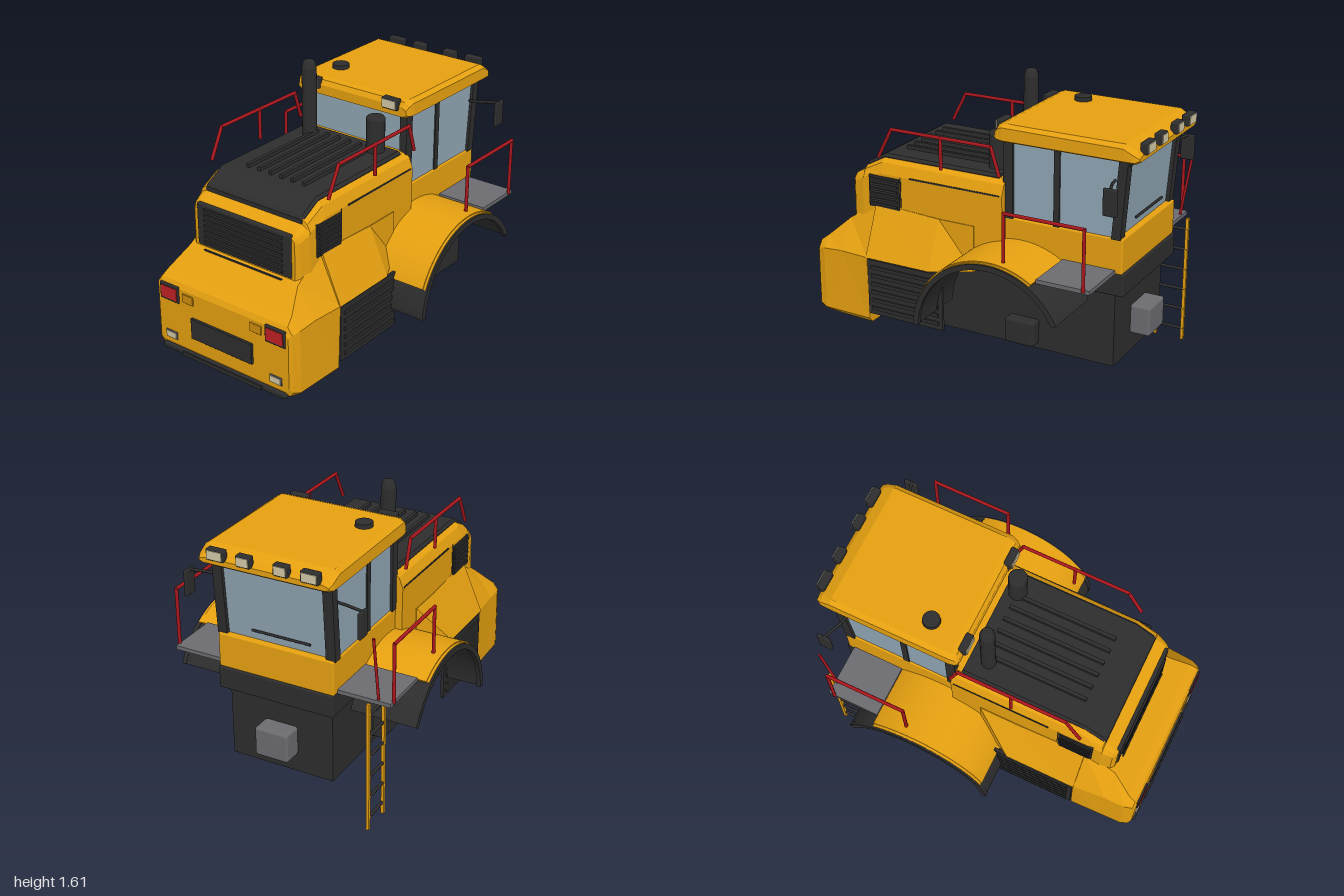
import * as THREE from 'three';
import { RoundedBoxGeometry } from 'three/addons/geometries/RoundedBoxGeometry.js';

const mat = (name, color, flatShading = false) => {
  const m = new THREE.MeshStandardMaterial({ color });
  m.name = name;
  m.flatShading = flatShading;
  return m;
};

export function createModel() {
  const yellow = mat('machine yellow', 0xe5a010);
  const black = mat('charcoal', 0x2d2d2e);
  const glass = mat('window blue grey', 0x8fa5b2);
  const red = mat('rail red', 0xa8161c);
  const lampRed = mat('lamp red', 0xc02024);
  const grey = mat('platform grey', 0x6b6b70);
  const cream = mat('lamp cream', 0xd2c8a6);
  const amber = mat('amber', 0xd08c0c);
  const model = new THREE.Group();
  model.name = 'tractorBody';

  const add = (name, geo, material) => {
    const m = new THREE.Mesh(geo, material);
    m.name = name;
    model.add(m);
    return m;
  };
  // Box given by its x, y and z limits
  const box = (name, material, [x0, x1], [y0, y1], [z0, z1], r = 0) => {
    const s = [Math.abs(x1 - x0), Math.abs(y1 - y0), Math.abs(z1 - z0)];
    const g = r ? new RoundedBoxGeometry(...s, 2, r) : new THREE.BoxGeometry(...s);
    g.translate((x0 + x1) / 2, (y0 + y1) / 2, (z0 + z1) / 2);
    return add(name, g, material);
  };
  // Profile in the z-y plane, extruded from x0 to x1
  const slab = (name, material, shape, xa, xb) => {
    const s = Array.isArray(shape) ? new THREE.Shape(shape.map(p => new THREE.Vector2(...p))) : shape;
    const g = new THREE.ExtrudeGeometry(s, { depth: Math.abs(xb - xa), bevelEnabled: false, curveSegments: 28 });
    g.rotateY(-Math.PI / 2).translate(Math.max(xa, xb), 0, 0);
    return add(name, g, material);
  };
  // Round bar through a list of points
  const bar = (name, material, pts, r = 0.01) => {
    for (let i = 1; i < pts.length; i++) {
      const a = new THREE.Vector3(...pts[i - 1]), b = new THREE.Vector3(...pts[i]);
      const m = add(name, new THREE.CylinderGeometry(r, r, a.distanceTo(b) + r, 8), material);
      m.position.copy(a).add(b).multiplyScalar(0.5);
      m.quaternion.setFromUnitVectors(new THREE.Vector3(0, 1, 0), b.sub(a).normalize());
    }
  };
  // Mirrored loft: sections [z, [half width, y]...] in order of rising z, bottom to top
  const loft = (name, material, sections) => {
    const rings = sections.map(([z, ...half]) => [
      ...half.map(([x, y]) => [x, y, z]),
      ...half.slice().reverse().map(([x, y]) => [-x, y, z]),
    ]);
    const v = [], n = rings[0].length;
    const tri = (a, b, c) => v.push(...a, ...b, ...c);
    for (let i = 0; i + 1 < rings.length; i++) {
      for (let j = 0; j < n; j++) {
        const k = (j + 1) % n, p = rings[i], q = rings[i + 1];
        tri(p[j], p[k], q[k]);
        tri(p[j], q[k], q[j]);
      }
    }
    const first = rings[0], last = rings[rings.length - 1];
    for (let j = 1; j + 1 < n; j++) {
      tri(first[0], first[j + 1], first[j]);
      tri(last[0], last[j], last[j + 1]);
    }
    const g = new THREE.BufferGeometry();
    g.setAttribute('position', new THREE.Float32BufferAttribute(v, 3));
    g.computeVertexNormals();
    return add(name, g, material);
  };
  const sides = fn => [-1, 1].forEach(s => fn(s, (a, b) => [s * a, s * b]));

  // Chassis and cab floor
  box('chassis', black, [-0.31, 0.31], [0.19, 0.62], [-0.835, 0.62]);
  box('cabFloor', black, [-0.345, 0.345], [0.62, 0.75], [-0.895, 0.02], 0.01);
  box('rearHitchBox', grey, [-0.1, 0.1], [0.3, 0.47], [-0.95, -0.83], 0.015);

  // Nose and flared skirts
  loft('nose', yellow, [
    [0.61, [0.47, 0.19], [0.495, 0.22], [0.505, 0.6], [0.37, 0.89]],
    [0.8, [0.46, 0.19], [0.49, 0.22], [0.49, 0.6], [0.375, 0.765]],
    [0.92, [0.45, 0.19], [0.487, 0.22], [0.485, 0.59], [0.43, 0.655]],
    [0.965, [0.45, 0.205], [0.475, 0.235], [0.47, 0.58], [0.44, 0.62]],
    [0.98, [0.44, 0.235], [0.455, 0.26], [0.455, 0.56], [0.43, 0.59]],
  ]);
  loft('skirts', yellow, [
    [-0.02, [0.39, 0.6], [0.39, 0.87]],
    [0.2, [0.51, 0.6], [0.39, 0.87]],
    [0.615, [0.51, 0.6], [0.385, 0.89]],
  ]);

  // Hood, top cover and ribs
  loft('hood', yellow, [
    [-0.195, [0.385, 0.74], [0.388, 1.07], [0.365, 1.13], [0.33, 1.155]],
    [0.58, [0.385, 0.74], [0.385, 1.07], [0.362, 1.13], [0.33, 1.155]],
    [0.7, [0.385, 0.74], [0.38, 1.03], [0.36, 1.07], [0.33, 1.09]],
    [0.705, [0.385, 0.74], [0.38, 1.02], [0.36, 1.05], [0.33, 1.065]],
    [0.765, [0.37, 0.74], [0.365, 0.99], [0.35, 1.02], [0.33, 1.035]],
    [0.785, [0.345, 0.74], [0.345, 0.98], [0.34, 1.0], [0.325, 1.015]],
  ]);
  loft('hoodCover', black, [
    [-0.15, [0.335, 1.06], [0.335, 1.155], [0.322, 1.172]],
    [0.58, [0.335, 1.06], [0.335, 1.155], [0.322, 1.172]],
    [0.69, [0.335, 1.06], [0.335, 1.095], [0.322, 1.11]],
    [0.705, [0.33, 1.065], [0.33, 1.08], [0.32, 1.09]],
  ]);
  for (let i = 0; i < 6; i++) {
    const x = -0.19 + i * 0.076;
    box('hoodRib', black, [x - 0.01, x + 0.01], [1.165, 1.193], [-0.08, 0.52]);
  }

  // Front grille
  box('grille', black, [-0.325, 0.325], [0.78, 1.03], [0.74, 0.792], 0.01);
  for (let i = 0; i < 7; i++) {
    const y = 0.81 + i * 0.032;
    box('grilleSlat', black, [-0.27, 0.27], [y - 0.007, y + 0.007], [0.78, 0.802]);
  }
  box('grilleTrim', black, [-0.27, 0.27], [0.76, 0.768], [0.78, 0.805]);

  // Nose fittings
  box('frontPlate', black, [-0.215, 0.215], [0.32, 0.445], [0.975, 0.995], 0.004);
  box('bumperStrip', black, [-0.435, 0.435], [0.188, 0.222], [0.92, 0.993], 0.012);
  box('bumperLip', black, [-0.28, 0.28], [0.192, 0.216], [0.96, 1.0]);
  sides((s, X) => {
    box('lampFrame', black, X(0.303, 0.438), [0.498, 0.598], [0.96, 0.988], 0.005);
    box('redLamp', lampRed, X(0.315, 0.426), [0.512, 0.584], [0.985, 0.992]);
    box('amberLamp', amber, X(0.2, 0.278), [0.52, 0.572], [0.97, 0.988], 0.004);
    box('lowLampFrame', grey, X(0.33, 0.41), [0.262, 0.308], [0.96, 0.986]);
    box('lowLamp', cream, X(0.336, 0.404), [0.268, 0.302], [0.982, 0.99]);
  });

  // Exhaust and intake stacks
  const stack = (name, x, z, pts) => {
    const g = new THREE.LatheGeometry(pts.map(p => new THREE.Vector2(...p)), 20);
    add(name, g, black).position.set(x, 0, z);
  };
  stack('exhaust', -0.22, -0.045, [[0.042, 1.14], [0.042, 1.565], [0.042, 1.57], [0.034, 1.6], [0.026, 1.61], [0, 1.61]]);
  stack('intake', 0.215, -0.08, [[0.053, 1.14], [0.053, 1.36], [0.053, 1.365], [0.045, 1.375], [0, 1.375]]);

  // Cab
  box('cabBase', yellow, [-0.345, 0.345], [0.745, 0.945], [-0.885, -0.185], 0.01);
  slab('windows', glass, [[-0.2, 0.94], [-0.2, 1.4], [-0.885, 1.4], [-0.85, 0.94]], -0.335, 0.335);
  sides((s, X) => {
    slab('frontPillar', black, [[-0.183, 0.94], [-0.183, 1.4], [-0.24, 1.4], [-0.24, 0.94]], ...X(0.305, 0.35));
    slab('middlePillar', black, [[-0.48, 0.94], [-0.48, 1.4], [-0.515, 1.4], [-0.515, 0.94]], ...X(0.32, 0.343));
    slab('rearPillar', black, [[-0.82, 0.94], [-0.855, 1.39], [-0.905, 1.39], [-0.872, 0.94]], ...X(0.295, 0.352));
  });
  box('rearWindowHeader', black, [-0.33, 0.33], [1.345, 1.39], [-0.91, -0.86]);
  bar('rearWiper', black, [[-0.2, 1.0, -0.866], [0.14, 1.0, -0.866]], 0.007);
  loft('cabRoof', yellow, [
    [-0.975, [0.35, 1.385], [0.375, 1.395], [0.375, 1.405], [0.34, 1.415]],
    [-0.95, [0.36, 1.37], [0.388, 1.385], [0.385, 1.42], [0.35, 1.44]],
    [-0.89, [0.36, 1.37], [0.39, 1.385], [0.388, 1.45], [0.36, 1.47]],
    [-0.19, [0.36, 1.37], [0.39, 1.385], [0.388, 1.455], [0.36, 1.472]],
    [-0.16, [0.36, 1.372], [0.385, 1.388], [0.38, 1.44], [0.35, 1.462]],
    [-0.142, [0.35, 1.38], [0.375, 1.395], [0.37, 1.42], [0.34, 1.435]],
  ]);
  add('beacon', new THREE.CylinderGeometry(0.048, 0.05, 0.03, 20), black).position.set(-0.24, 1.48, -0.36);

  // Roof work lamps
  const workLamp = (x, w, z, dir) => {
    box('workLampCase', black, [x - w, x + w], [1.413, 1.477], [z - 0.022, z + 0.022], 0.008);
    const f = z + dir * 0.02;
    box('workLampLens', cream, [x - w + 0.008, x + w - 0.008], [1.421, 1.469], [f, f + dir * 0.007]);
  };
  [-0.27, 0.27].forEach(x => workLamp(x, 0.053, -0.145, 1));
  [[-0.275, 0.052], [-0.11, 0.042], [0.105, 0.042], [0.27, 0.052]].forEach(([x, w]) => workLamp(x, w, -0.972, -1));

  // Fender arc between two angles in degrees
  const arch = (r0, r1, a, b) => {
    const s = new THREE.Shape(), d = Math.PI / 180;
    s.absarc(-0.29, 0.36, r1, a * d, b * d, false);
    s.absarc(-0.29, 0.36, r0, b * d, a * d, true);
    return s;
  };

  sides((s, X) => {
    // Fenders
    slab('fenderLiner', black, arch(0.44, 0.455, 3, 153), ...X(0.34, 0.715));
    slab('fenderRim', black, arch(0.427, 0.458, 3, 153), ...X(0.7, 0.725));
    slab('fenderCover', yellow, arch(0.45, 0.468, 24.5, 122), ...X(0.34, 0.7));
    slab('fenderCoverEdge', yellow, arch(0.45, 0.462, 24.5, 122), ...X(0.69, 0.715));

    // Slatted panels ahead of the fenders
    box('sidePanel', black, X(0.488, 0.506), [0.26, 0.592], [0.115, 0.605]);
    for (let i = 0; i < 6; i++) {
      const y = 0.3 + i * 0.05;
      box('sidePanelSlat', black, X(0.5, 0.515), [y - 0.01, y + 0.01], [0.14, 0.58]);
    }
    box('chassisSideBox', black, X(0.3, 0.38), [0.22, 0.365], [-0.385, -0.205], 0.015);

    // Hood vents and seam
    box('hoodVent', black, X(0.375, 0.392), [0.87, 1.055], [0.455, 0.655]);
    for (let i = 0; i < 6; i++) {
      const y = 0.89 + i * 0.029;
      box('hoodVentSlat', black, X(0.385, 0.4), [y - 0.007, y + 0.007], [0.465, 0.645]);
    }
    box('hoodSeam', black, X(0.382, 0.39), [1.066, 1.074], [-0.18, 0.39]);
    box('ventSeam', black, X(0.382, 0.388), [0.89, 1.11 - 0.04], [0.446, 0.451]);

    // Platform and red rails
    box('platform', grey, X(0.345, 0.65), [0.745, 0.768], [-0.845, -0.54]);
    bar('platformRail', red, [[s * 0.65, 0.76, -0.81], [s * 0.65, 1.095, -0.81], [s * 0.65, 1.095, -0.35], [s * 0.65, 0.82, -0.35]]);
    bar('hoodRail', red, [[s * 0.4, 1.18, 0.575], [s * 0.4, 1.345, 0.49], [s * 0.4, 1.345, -0.135], [s * 0.4, 1.19, -0.185]]);
    bar('hoodRailPost', red, [[s * 0.4, 1.345, 0.175], [s * 0.4, 1.17, 0.175]]);

    // Mirrors
    bar('mirrorArm', black, [[s * 0.345, 1.26, -0.83], [s * 0.4, 1.262, -0.84], [s * 0.51, 1.272, -0.88]], 0.008);
    box('mirror', black, X(0.5, 0.52), [1.13, 1.278], [-0.922, -0.842], 0.008);
  });

  // Ladder with grab rail
  for (const z of [-0.72, -0.89]) box('ladderRail', yellow, [-0.557, -0.54], [0, 0.765], [z - 0.009, z + 0.009]);
  for (let i = 0; i < 6; i++) bar('ladderRung', black, [[-0.548, 0.07 + i * 0.125, -0.72], [-0.548, 0.07 + i * 0.125, -0.89]], 0.009);
  bar('ladderGrabRail', red, [[-0.575, 0.76, -0.83], [-0.575, 1.14, -0.89]], 0.008);

  return model;
}
